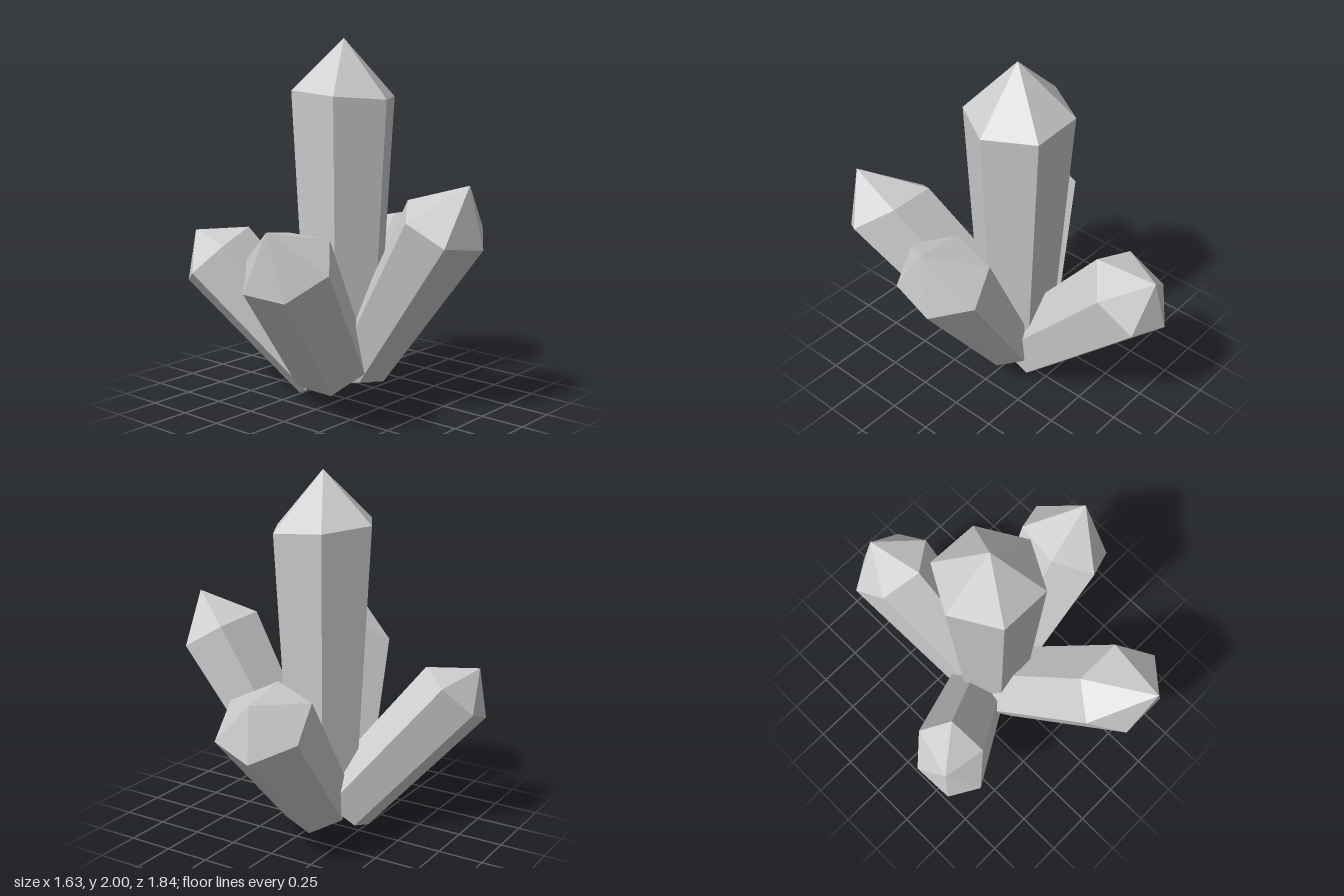
import * as THREE from 'three';

const SIDES = 6;

// One crystal: base and shoulder centres, two shoulder half-axes (u, v),
// the size of the base relative to the shoulder, and the tip.
const CRYSTALS = [
  { name: 'centreCrystal', base: [-0.02, 0.15, 0], shoulder: [-0.025, 1.705, -0.015],
    u: [-0.295, 0.022, 0], v: [0, 0.012, 0.295], taper: 0.7, tip: [-0.02, 2, -0.01] },
  { name: 'leftCrystal', base: [0.1, 0.21, -0.02], shoulder: [0.622, 1.052, -0.063],
    u: [-0.19, 0.12, 0.07], v: [0.05, -0.026, 0.27], taper: 0.64, tip: [0.77, 1.27, -0.065] },
  { name: 'frontCrystal', base: [-0.01, 0.22, 0.11], shoulder: [0.247, 0.907, 0.727],
    u: [-0.275, 0.005, 0], v: [0.014, -0.147, 0.202], taper: 0.87, tip: [0.3, 1.11, 0.92] },
  { name: 'backCrystal', base: [-0.035, 0.145, -0.08], shoulder: [-0.117, 0.832, -0.72],
    u: [-0.235, -0.06, -0.05], v: [-0.084, 0.141, 0.202], taper: 0.76, tip: [-0.13, 0.96, -0.86] },
  { name: 'rightCrystal', base: [-0.145, 0.13, 0.005], shoulder: [-0.668, 0.795, 0.325],
    u: [-0.15, -0.075, -0.105], v: [-0.066, -0.133, 0.19], taper: 0.84, tip: [-0.77, 0.93, 0.4] },
];

const vec = (a) => new THREE.Vector3(...a);

// Hexagonal cross-section, counter-clockwise when seen from the tip
function ring(centre, u, v, scale) {
  return Array.from({ length: SIDES }, (_, i) => {
    const a = (i / SIDES) * Math.PI * 2;
    return vec(centre)
      .addScaledVector(vec(u), Math.cos(a) * scale)
      .addScaledVector(vec(v), Math.sin(a) * scale);
  });
}

function crystalGeometry({ base, shoulder, u, v, taper, tip }) {
  const low = ring(base, u, v, taper);
  const high = ring(shoulder, u, v, 1);
  const apex = vec(tip);
  const foot = vec(base);
  const points = [];
  for (let i = 0; i < SIDES; i++) {
    const j = (i + 1) % SIDES;
    points.push(low[i], low[j], high[j], low[i], high[j], high[i]); // side
    points.push(high[i], high[j], apex); // pointed end
    points.push(low[j], low[i], foot); // bottom cap
  }
  const geometry = new THREE.BufferGeometry().setFromPoints(points);
  geometry.computeVertexNormals();
  return geometry;
}

export function createModel() {
  const group = new THREE.Group();
  group.name = 'crystalCluster';
  const material = new THREE.MeshStandardMaterial({ color: 0xcccccc, flatShading: true });
  for (const crystal of CRYSTALS) {
    const mesh = new THREE.Mesh(crystalGeometry(crystal), material);
    mesh.name = crystal.name;
    group.add(mesh);
  }
  return group;
}
